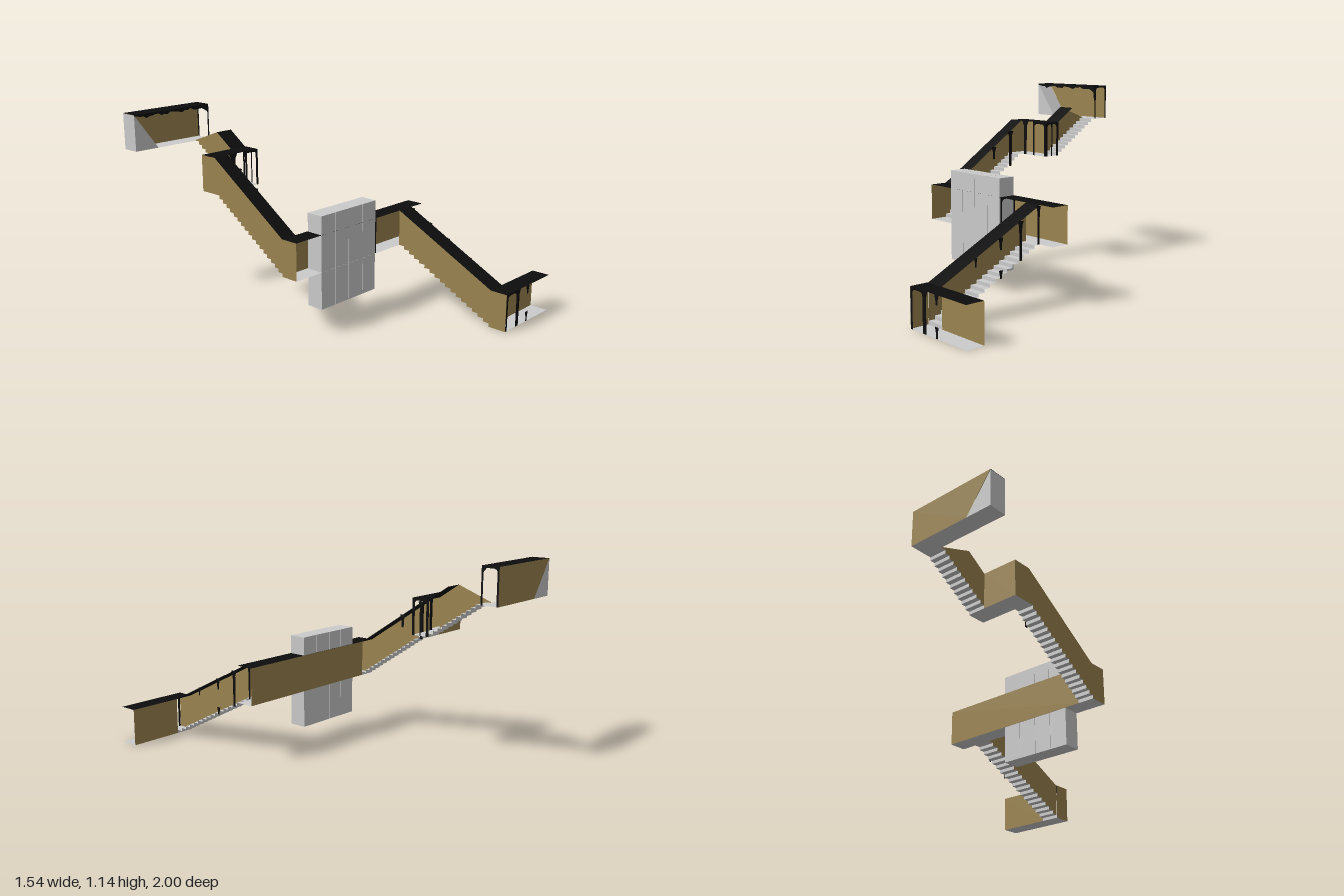
import * as THREE from 'three';

const mat = (color) => new THREE.MeshStandardMaterial({ color, side: THREE.DoubleSide });

export function createModel() {
  const root = new THREE.Group();
  const grey = mat(0xcccccc), tan = mat(0x9b8450), black = mat(0x0d0d0d);

  const add = (name, geo, material) => {
    const m = new THREE.Mesh(geo, material);
    m.name = name;
    root.add(m);
    return m;
  };

  // Flat sheet: axis 'x' takes (z, y) points, 'z' takes (x, y)
  const sheet = (name, material, axis, at, shape) => {
    if (Array.isArray(shape)) shape = new THREE.Shape(shape.map(([u, v]) => new THREE.Vector2(u, v)));
    const geo = new THREE.ShapeGeometry(shape, 8), p = geo.attributes.position;
    for (let i = 0; i < p.count; i++) {
      const u = p.getX(i), v = p.getY(i);
      if (axis === 'x') p.setXYZ(i, at, v, u);
      else p.setXYZ(i, u, v, at);
    }
    geo.computeVertexNormals();
    return add(name, geo, material);
  };
  const rect = (u0, u1, y0, y1) => [[u0, y0], [u1, y0], [u1, y1], [u0, y1]];

  // Ribbon between x0 and x1 following a (z, y) path: floors, stairs, ceilings
  const ribbon = (name, material, x0, x1, path) => {
    const pos = [];
    for (let i = 0; i + 1 < path.length; i++) {
      const [za, ya] = path[i], [zb, yb] = path[i + 1];
      pos.push(x0, ya, za, x1, ya, za, x1, yb, zb, x0, ya, za, x1, yb, zb, x0, yb, zb);
    }
    const geo = new THREE.BufferGeometry();
    geo.setAttribute('position', new THREE.Float32BufferAttribute(pos, 3));
    geo.computeVertexNormals();
    return add(name, geo, material);
  };

  // Zigzag step line climbing toward -z
  const steps = (z0, z1, y0, y1, n) => {
    const pts = [[z0, y0]];
    for (let i = 0; i < n; i++) {
      const z = z0 + (z1 - z0) * i / n, y = y0 + (y1 - y0) * (i + 1) / n;
      pts.push([z, y], [z0 + (z1 - z0) * (i + 1) / n, y]);
    }
    return pts;
  };

  // Black frame with a round-cornered opening
  const arch = (axis, at, u0, u1, y0, y1, w) => {
    const s = new THREE.Shape(), a = u0 + w, b = u1 - w, t = y1 - 0.012, r = (b - a) * 0.3;
    s.moveTo(u0, y0); s.lineTo(a, y0); s.lineTo(a, t - r);
    s.quadraticCurveTo(a, t, a + r, t); s.lineTo(b - r, t);
    s.quadraticCurveTo(b, t, b, t - r); s.lineTo(b, y0);
    s.lineTo(u1, y0); s.lineTo(u1, y1); s.lineTo(u0, y1);
    sheet('archFrame', black, axis, at, s);
  };

  // Post or drip flaring out at its top
  const post = (axis, at, u, w, y0, y1) => sheet('post', black, axis, at, [
    [u - w * 0.4, y0], [u + w * 0.4, y0], [u + w * 0.5, y1 - 0.03],
    [u + w, y1], [u - w, y1], [u - w * 0.5, y1 - 0.03]]);

  // Floors and ceilings of the level corridors: x0, x1, z front, z back, floor, ceiling
  const levels = [
    ['lower', 0.32, 0.77, 1, 0.89, 0, 0.222],
    ['middle', -0.55, 0.54, 0.22, 0.11, 0.34, 0.558],
    ['upper', -0.55, -0.22, -0.44, -0.555, 0.708, 0.925],
    ['top', -0.77, -0.22, -0.89, -1, 0.928, 1.145],
  ];
  for (const [name, x0, x1, zf, zb, y0, y1] of levels) {
    ribbon(name + 'Floor', grey, x0, x1, [[zf, y0], [zb, y0]]);
    ribbon(name + 'Ceiling', black, x0, x1, [[zf, y1], [zb, y1]]);
  }

  // Back walls and closed ends of the corridors
  sheet('lowerBackWall', tan, 'z', 0.89, rect(0.437, 0.77, 0, 0.222));
  sheet('lowerEndWall', tan, 'x', 0.32, rect(0.89, 1, 0, 0.222));
  sheet('middleBackWall', tan, 'z', 0.11, rect(-0.45, 0.54, 0.34, 0.558));
  sheet('middleEndWall', tan, 'x', -0.55, rect(0.11, 0.22, 0.34, 0.558));
  sheet('upperBackWall', tan, 'z', -0.555, rect(-0.55, -0.33, 0.708, 0.925));
  sheet('upperEndWall', tan, 'x', -0.55, rect(-0.555, -0.44, 0.708, 0.925));
  sheet('topBackWall', tan, 'z', -1, [[-0.61, 0.928], [-0.22, 0.928], [-0.22, 1.145], [-0.77, 1.145]]);

  // Stair flights: zigzag steps, a side wall on the -x side, a sloping ceiling
  const flights = [
    ['lower', 0.323, 0.437, steps(0.89, 0.22, 0, 0.34, 17), [[0.89, 0.222], [0.22, 0.558]], null],
    ['middle', -0.55, -0.45, steps(0.11, -0.44, 0.34, 0.708, 18), [[0.11, 0.558], [-0.44, 0.925]], null],
    ['upper', -0.33, -0.22, steps(-0.555, -0.89, 0.708, 0.928, 11), [[-0.555, 0.925], [-0.68, 1.01]], [-0.89, 0.932]],
  ];
  for (const [name, x0, x1, line, roof, tail] of flights) {
    ribbon(name + 'Stairs', grey, x0, x1, line);
    ribbon(name + 'StairCeiling', black, x0, x1, roof);
    const top = tail ? [...roof, tail] : roof;
    sheet(name + 'StairWall', tan, 'x', x0, [...line, ...top.reverse()]);
  }

  // Tall block of four slabs across the middle corridor
  const edges = [-0.355, -0.24, -0.13, -0.012, 0.1];
  for (let i = 0; i < 4; i++) {
    const w = edges[i + 1] - edges[i];
    add('blockSlab', new THREE.BoxGeometry(w - 0.002, 0.55, 0.106), grey)
      .position.set(edges[i] + w / 2, 0.392, 0.166);
  }

  // Ramp closing the far end of the top corridor
  const tri = new THREE.Shape([[-0.77, 0.928], [-0.61, 0.928], [-0.77, 1.143]].map(([x, y]) => new THREE.Vector2(x, y)));
  add('endRamp', new THREE.ExtrudeGeometry(tri, { depth: 0.109, bevelEnabled: false }), grey).position.z = -0.9995;

  // Arched frames on the open sides
  arch('z', 1, 0.322, 0.44, 0, 0.222, 0.016);
  arch('x', 0.108, 0.11, 0.22, 0.34, 0.558, 0.012);
  arch('z', -0.44, -0.335, -0.22, 0.708, 0.925, 0.012);
  arch('x', -0.22, -0.555, -0.44, 0.708, 0.925, 0.018);
  arch('x', -0.22, -1, -0.89, 0.928, 1.145, 0.012);

  // Posts and drips along the open sides
  post('z', 1, 0.445, 0.02, 0, 0.222);
  post('z', 1, 0.54, 0.018, 0.17, 0.222);
  post('z', 1, 0.54, 0.016, 0, 0.06);
  post('x', 0.437, 0.67, 0.01, 0.285, 0.333);
  post('x', 0.437, 0.5, 0.018, 0.35, 0.417);
  post('x', 0.437, 0.5, 0.014, 0.195, 0.24);
  post('x', 0.437, 0.36, 0.022, 0.27, 0.487);
  post('x', 0.437, 0.23, 0.018, 0.34, 0.553);
  post('x', -0.45, -0.205, 0.02, 0.69, 0.769);
  post('x', -0.45, -0.345, 0.026, 0.635, 0.862);
  post('z', -0.44, -0.41, 0.03, 0.708, 0.925);
  post('x', -0.22, -0.497, 0.01, 0.708, 0.925);

  // Ragged black edge hanging from the top ceiling
  const drip = [[-0.77, 1.145], [-0.77, 1.138]];
  for (let i = 1; i < 24; i++) {
    const x = -0.77 + 0.52 * i / 24;
    drip.push([x, 1.127 + 0.006 * Math.sin(i * 1.1) + 0.004 * Math.sin(i * 2.7)]);
  }
  drip.push([-0.245, 1.11], [-0.23, 1.1], [-0.226, 1.05], [-0.22, 1.05], [-0.22, 1.145]);
  sheet('ceilingDrip', black, 'z', -0.89, drip);

  return root;
}
